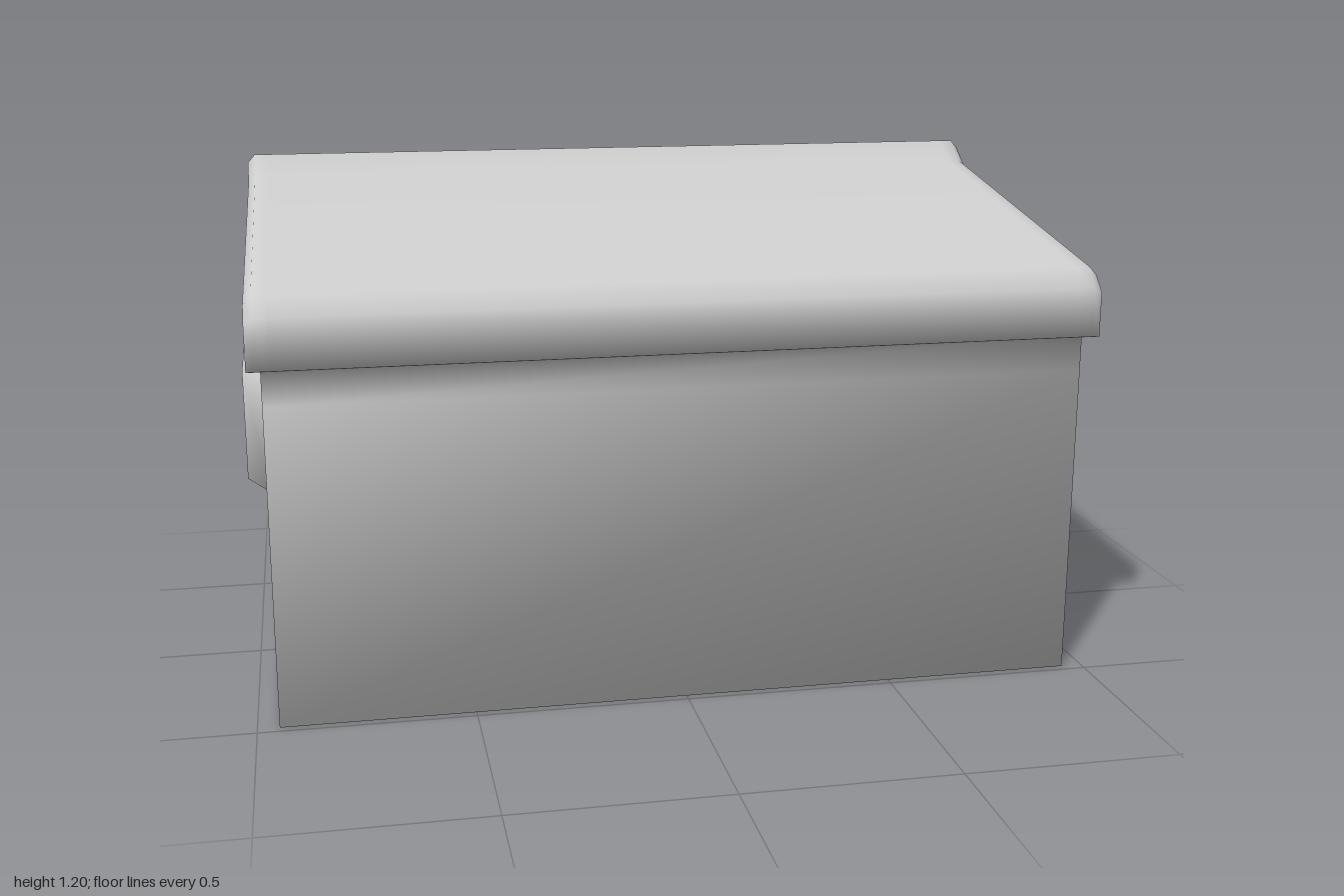
import * as THREE from 'three';

const material = new THREE.MeshStandardMaterial({ color: 0xcccccc, side: THREE.DoubleSide });

// Skins rings of [x, y, z] points (counter-clockwise seen from the last ring).
// Every corner gets the mean of its face normals, for a soft-edged look.
function loft(name, rings, capStart, capEnd) {
  const n = rings[0].length;
  const points = rings.flat().map(p => new THREE.Vector3(...p));
  const normals = points.map(() => new THREE.Vector3());
  const index = [];

  const face = ids => {
    const normal = new THREE.Vector3();
    ids.forEach((id, k) => {
      normal.add(points[id].clone().cross(points[ids[(k + 1) % ids.length]]));
    });
    normal.normalize();
    ids.forEach(id => normals[id].add(normal));
    for (let k = 1; k < ids.length - 1; k++) index.push(ids[0], ids[k], ids[k + 1]);
  };

  for (let i = 0; i < rings.length - 1; i++) {
    for (let j = 0; j < n; j++) {
      const k = (j + 1) % n;
      face([i * n + j, i * n + k, (i + 1) * n + k, (i + 1) * n + j]);
    }
  }
  const ids = Array.from({ length: n }, (_, j) => j);
  if (capStart) face([ids[0], ...ids.slice(1).reverse()]);
  if (capEnd) face(ids.map(j => (rings.length - 1) * n + j));

  const geometry = new THREE.BufferGeometry().setFromPoints(points);
  geometry.setAttribute('normal', new THREE.Float32BufferAttribute(
    normals.flatMap(v => v.normalize().toArray()), 3));
  geometry.setIndex(index);
  const mesh = new THREE.Mesh(geometry, material);
  mesh.name = name;
  return mesh;
}

// Height of the sloping lower edge of the lid
const rimY = z => 0.91 - 0.138 * z;

function createBody() {
  const ring = (x, z, height) => [
    [x, z], [x, 0.2], [x, -0.4], [x, -z],
    [-x, -z], [-x, -0.4], [-x, 0.2], [-x, z],
  ].map(([px, pz]) => [px, height(pz), pz]);

  return loft('body', [
    ring(0.95, 0.48, () => 0),
    ring(0.95, 0.48, z => rimY(z) - 0.09),
    ring(0.95, 0.48, z => rimY(z) - 0.002),
    ring(0.975, 0.505, z => rimY(z) - 0.002), // ledge under the lid
  ], true, false);
}

function createLid() {
  // Side profiles as [z, y], starting at the foot of the raised back lip
  const full = [
    [-0.40, 1.15], [0.475, 1.0], [0.51, 0.955], [0.51, 0.84],
    [-0.51, 0.98], [-0.505, 1.19], [-0.475, 1.2],
  ];
  // The ends are a little lower, which bevels the upper edge
  const end = [
    [-0.40, 1.13], [0.475, 0.98], [0.51, 0.945], [0.51, 0.84],
    [-0.51, 0.98], [-0.505, 1.175], [-0.475, 1.18],
  ];
  const at = (x, profile) => profile.map(([z, y]) => [x, y, z]);
  return loft('lid', [
    at(-0.98, end), at(-0.962, full), at(-0.93, full),
    at(0.93, full), at(0.962, full), at(0.98, end),
  ], true, true);
}

// Bevelled grip pad on one side (side is 1 or -1)
function createHandle(side) {
  const base = [[0.21, 0.48], [-0.40, 0.53], [-0.40, 0.85], [0.21, 0.79]];
  const outer = [[0.19, 0.51], [-0.39, 0.555], [-0.39, 0.82], [0.19, 0.77]];
  const ring = (x, outline) => {
    const points = outline.map(([z, y]) => [side * x, y, z]);
    return side > 0 ? points : points.reverse();
  };
  return loft(side > 0 ? 'leftHandle' : 'rightHandle',
    [ring(0.949, base), ring(1, outer)], false, true);
}

export function createModel() {
  const group = new THREE.Group();
  group.name = 'storageBox';
  group.add(createBody(), createLid(), createHandle(1), createHandle(-1));
  return group;
}
